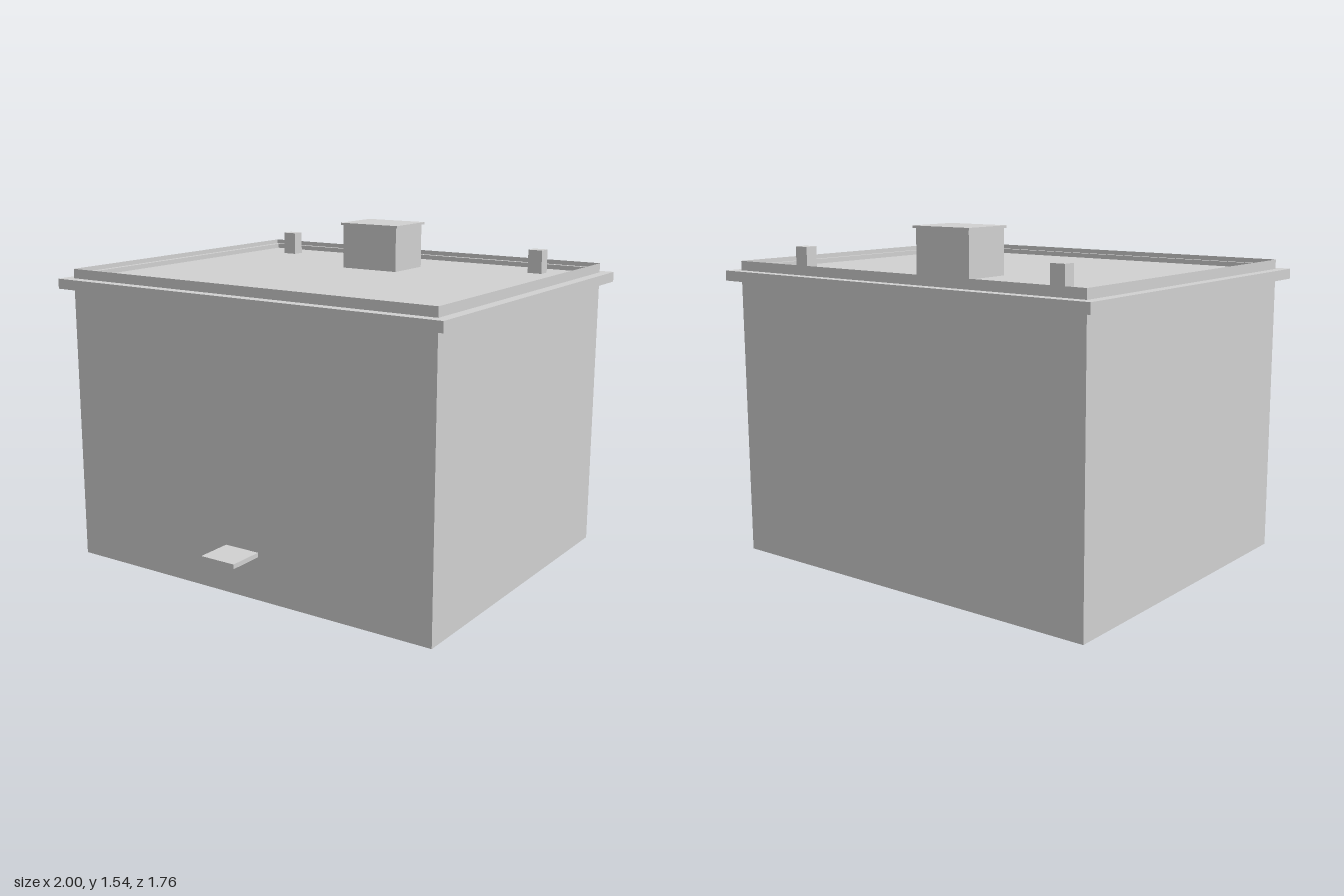
import * as THREE from 'three';

export function createModel() {
  const model = new THREE.Group();
  const stone = new THREE.MeshStandardMaterial({ color: 0xd1d1d1, side: THREE.DoubleSide });
  stone.name = 'pale grey stone';

  const add = (name, geometry) => {
    const mesh = new THREE.Mesh(geometry, stone);
    mesh.name = name;
    model.add(mesh);
    return mesh;
  };

  // Box given by its extents on each axis
  const block = (name, [x0, x1], [y0, y1], [z0, z1]) =>
    add(name, new THREE.BoxGeometry(x1 - x0, y1 - y0, z1 - z0))
      .position.set((x0 + x1) / 2, (y0 + y1) / 2, (z0 + z1) / 2);

  // Vertical sheet between two floor points, facing outward
  const wall = (name, [xa, za], [xb, zb], height) => {
    const mesh = add(name, new THREE.PlaneGeometry(Math.hypot(xb - xa, zb - za), height));
    mesh.position.set((xa + xb) / 2, height / 2, (za + zb) / 2);
    mesh.rotation.y = Math.atan2(za - zb, xb - xa);
  };

  const X = 0.95, BACK = -0.831, FRONT = 0.713;
  const EAVE = 1.278, DECK = 1.324, LEDGE = 1.346, TOP = 1.367;

  // Hollow shell, open underneath, its walls rising past the deck as a parapet
  const corners = [[-X, FRONT], [X, FRONT], [X, BACK], [-X, BACK]];
  ['frontWall', 'leftWall', 'backWall', 'rightWall'].forEach((name, i) =>
    wall(name, corners[i], corners[(i + 1) % 4], TOP));

  // Roof deck sheet
  const deck = add('roofDeck', new THREE.PlaneGeometry(2 * X, FRONT - BACK));
  deck.rotation.x = -Math.PI / 2;
  deck.position.set(0, DECK, (FRONT + BACK) / 2);

  // Rectangular ring around the building, from one outline inset to another
  const outline = (Path, inset) => new Path([
    [-X + inset, -FRONT + inset], [X - inset, -FRONT + inset],
    [X - inset, -BACK - inset], [-X + inset, -BACK - inset],
  ].map(([x, y]) => new THREE.Vector2(x, y)));
  const ring = (name, outer, inner, y0, y1) => {
    const shape = outline(THREE.Shape, outer);
    shape.holes.push(outline(THREE.Path, inner));
    const mesh = add(name,
      new THREE.ExtrudeGeometry(shape, { depth: y1 - y0, bevelEnabled: false }));
    mesh.rotation.x = -Math.PI / 2;
    mesh.position.y = y0;
  };
  ring('cornice', -0.05, 0, EAVE, DECK);
  ring('parapetLedge', 0, 0.022, DECK, LEDGE);

  // Rooftop hut with a thin cap
  block('roofHut', [-0.148, 0.148], [DECK, 1.53], [-0.532, -0.295]);
  block('roofHutCap', [-0.158, 0.158], [1.53, 1.541], [-0.543, -0.288]);

  // Pair of small vents
  for (const side of [-1, 1]) {
    block(side > 0 ? 'leftVent' : 'rightVent',
      [side * 0.712 - 0.035, side * 0.712 + 0.035], [DECK, 1.433], [-0.682, -0.622]);
  }

  // Small ledge on the front wall
  block('frontLedge', [-0.088, 0.088], [0.198, 0.219], [FRONT, 0.88]);

  return model;
}
